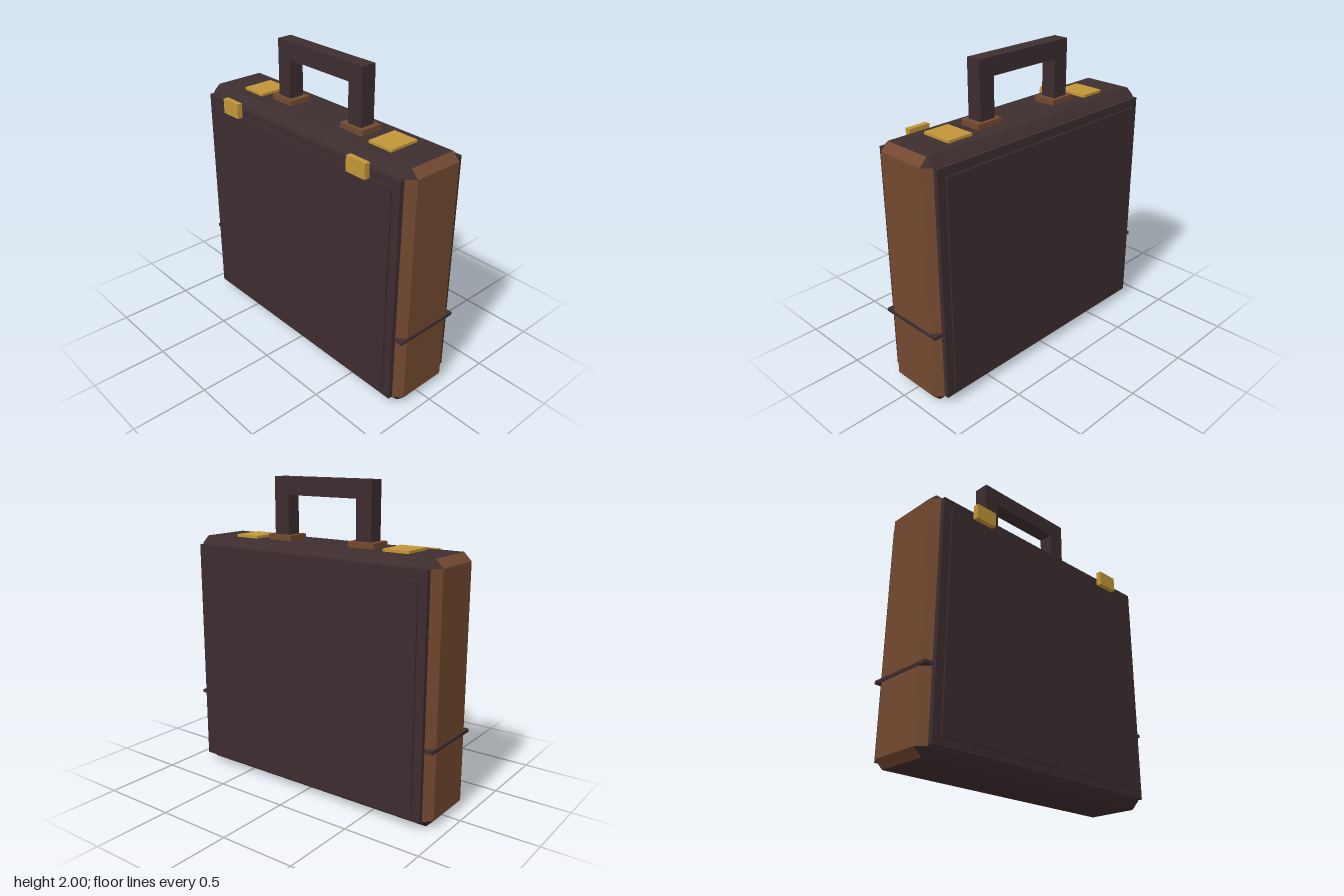
import * as THREE from 'three';

const mat = (name, color) => {
  const m = new THREE.MeshStandardMaterial({ color });
  m.name = name;
  return m;
};

// Box with every edge chamfered; panels and strips touching the x ends go to the "side" list
function chamferedShell(half, c) {
  const main = [], side = [];
  const vert = (s, axis) => new THREE.Vector3(
    ...s.map((k, i) => k * (half[i] - (i === axis ? 0 : c))));
  const tri = (list, p, q, r) => {
    const n = q.clone().sub(p).cross(r.clone().sub(p));
    const outward = n.dot(p.clone().add(q).add(r)) > 0;
    for (const v of outward ? [p, q, r] : [p, r, q]) list.push(v.x, v.y, v.z);
  };
  const quad = (list, a, b, d, e) => { tri(list, a, b, d); tri(list, a, d, e); };
  const signs = [-1, 1];
  for (let a = 0; a < 3; a++) {
    const b = (a + 1) % 3, d = (a + 2) % 3;
    const at = (i, j, k) => { const s = []; s[a] = i; s[b] = j; s[d] = k; return s; };
    for (const i of signs) {
      // Flat face
      quad(a === 0 ? side : main, ...[[-1, -1], [1, -1], [1, 1], [-1, 1]].map(([j, k]) => vert(at(i, j, k), a)));
      // Chamfer strips between axes a and b
      for (const j of signs) {
        const s0 = at(i, j, -1), s1 = at(i, j, 1);
        quad(a === 0 || b === 0 ? side : main, vert(s0, a), vert(s1, a), vert(s1, b), vert(s0, b));
      }
    }
  }
  // Corner triangles
  for (const x of signs) for (const y of signs) for (const z of signs) {
    tri(main, ...[0, 1, 2].map(a => vert([x, y, z], a)));
  }
  return [main, side].map(list => {
    const g = new THREE.BufferGeometry();
    g.setAttribute('position', new THREE.Float32BufferAttribute(list, 3));
    g.computeVertexNormals();
    return g;
  });
}

export function createModel() {
  const dark = mat('dark leather', 0x3d2d2f);
  const brown = mat('brown leather', 0x734930);
  const gold = mat('brass', 0xc29637);
  const group = new THREE.Group();
  const midZ = -0.017;

  // Box given by its minimum and maximum on each axis
  const box = (name, material, [x0, x1], [y0, y1], [z0, z1]) => {
    const m = new THREE.Mesh(new THREE.BoxGeometry(x1 - x0, y1 - y0, z1 - z0), material);
    m.name = name;
    m.position.set((x0 + x1) / 2, (y0 + y1) / 2, (z0 + z1) / 2);
    group.add(m);
  };

  // Case body with brown ends
  const [shell, ends] = chamferedShell([0.918, 0.8, 0.218], 0.05);
  for (const [name, geo, m] of [['caseBody', shell, dark], ['caseEnds', ends, brown]]) {
    const mesh = new THREE.Mesh(geo, m);
    mesh.name = name;
    mesh.position.set(0, 0.8, midZ);
    group.add(mesh);
  }

  // Stepped panels on the front and back
  for (const [label, s] of [['front', 1], ['back', -1]]) {
    const depth = (a, b) => [midZ + s * a, midZ + s * b].sort((p, q) => p - q);
    box(label + 'Panel', dark, [-0.868, 0.868], [0.055, 1.548], depth(0.21, 0.248));
    box(label + 'InnerPanel', dark, [-0.813, 0.813], [0.11, 1.492], depth(0.24, 0.26));
  }

  // Seam band around the body
  box('seamBand', dark, [-0.925, 0.925], [0.489, 0.509], [midZ - 0.224, midZ + 0.224]);

  // Handle arch
  const arch = new THREE.Shape();
  [[-0.37, 1.61], [-0.37, 2], [0.37, 2], [0.37, 1.61], [0.26, 1.61], [0.26, 1.887], [-0.26, 1.887], [-0.26, 1.61]]
    .forEach(([x, y], i) => (i ? arch.lineTo(x, y) : arch.moveTo(x, y)));
  const handle = new THREE.Mesh(new THREE.ExtrudeGeometry(arch, { depth: 0.102, bevelEnabled: false }), dark);
  handle.name = 'handle';
  handle.position.z = midZ - 0.051;
  group.add(handle);

  // Handle mounts, top plates and front latches on both sides
  for (const [label, s] of [['left', 1], ['right', -1]]) {
    const span = (a, b) => (s > 0 ? [a, b] : [-b, -a]);
    box(label + 'HandleMount', brown, span(0.222, 0.406), [1.59, 1.636], [midZ - 0.075, midZ + 0.075]);
    box(label + 'TopPlate', gold, span(0.486, 0.662), [1.59, 1.617], [midZ - 0.105, midZ + 0.105]);
    box(label + 'Latch', gold, span(0.5, 0.648), [1.49, 1.588], [0.238, 0.275]);
  }
  return group;
}
